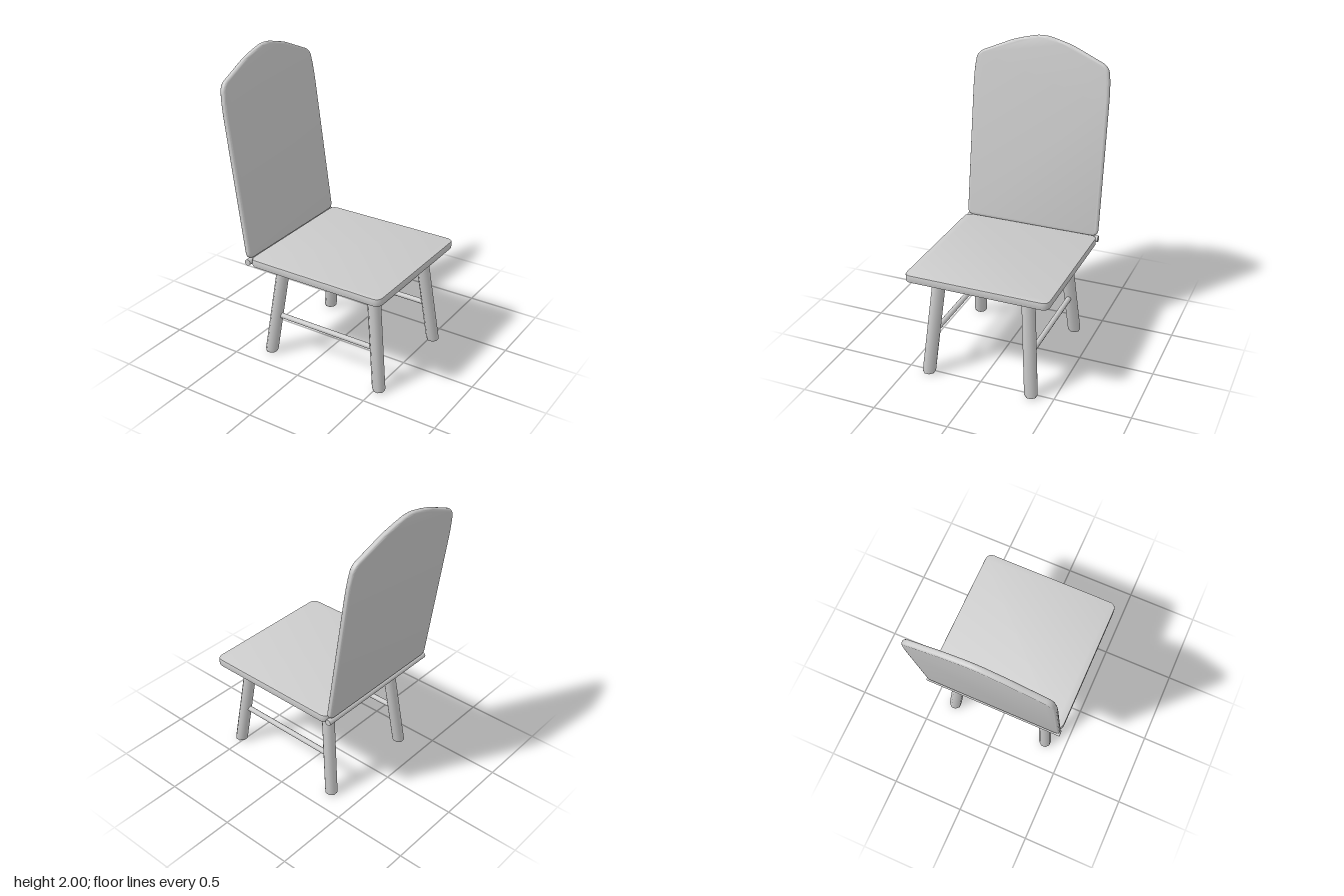
import * as THREE from 'three';
import { toCreasedNormals } from 'three/addons/utils/BufferGeometryUtils.js';

const material = new THREE.MeshStandardMaterial({ color: 0xcccccc });

function addMesh(group, geometry, name) {
  const mesh = new THREE.Mesh(geometry, material);
  mesh.name = name;
  group.add(mesh);
  return mesh;
}

// Flat board cut from a shape, centred on its thickness, with rounded edges
function board(shape, thickness, bevel, segments) {
  const geometry = new THREE.ExtrudeGeometry(shape, {
    depth: thickness - 2 * bevel, bevelThickness: bevel, bevelSize: bevel,
    bevelOffset: -bevel, bevelSegments: segments, curveSegments: 6,
  });
  geometry.translate(0, 0, -(thickness - 2 * bevel) / 2);
  return toCreasedNormals(geometry, 0.75);
}

function seatShape(w, d, r) {
  const s = new THREE.Shape();
  s.moveTo(-w + r, -d);
  s.lineTo(w - r, -d);
  s.quadraticCurveTo(w, -d, w, -d + r);
  s.lineTo(w, d - r);
  s.quadraticCurveTo(w, d, w - r, d);
  s.lineTo(-w + r, d);
  s.quadraticCurveTo(-w, d, -w, d - r);
  s.lineTo(-w, -d + r);
  s.quadraticCurveTo(-w, -d, -w + r, -d);
  return s;
}

// Backrest outline: straight sides, softly peaked top
function backShape() {
  const s = new THREE.Shape();
  s.moveTo(-0.43, 0);
  s.lineTo(0.43, 0);
  s.quadraticCurveTo(0.474, 0, 0.474, 0.045);
  s.lineTo(0.474, 0.89);
  s.quadraticCurveTo(0.474, 1.02, 0.462, 1.09);
  s.quadraticCurveTo(0.455, 1.135, 0.415, 1.155);
  s.lineTo(0.22, 1.24);
  s.quadraticCurveTo(0.16, 1.262, 0.05, 1.287);
  s.quadraticCurveTo(0, 1.295, -0.05, 1.287);
  s.quadraticCurveTo(-0.16, 1.262, -0.22, 1.24);
  s.lineTo(-0.415, 1.155);
  s.quadraticCurveTo(-0.455, 1.135, -0.462, 1.09);
  s.quadraticCurveTo(-0.474, 1.02, -0.474, 0.89);
  s.lineTo(-0.474, 0.045);
  s.quadraticCurveTo(-0.474, 0, -0.43, 0);
  return s;
}

// Upright leg with a rounded foot, sheared so that foot and top stay level
function legGeometry(bottom, top) {
  const height = 0.69, r = 0.043;
  const profile = [[0, 0], [r * 0.7, 0], [r * 0.93, 0.006], [r, 0.02], [r, height], [0, height]]
    .map(([x, y]) => new THREE.Vector2(x, y));
  const geometry = new THREE.LatheGeometry(profile, 8, Math.PI / 8);
  const p = geometry.attributes.position;
  for (let i = 0; i < p.count; i++) {
    const t = p.getY(i) / height;
    p.setX(i, p.getX(i) + THREE.MathUtils.lerp(bottom[0], top[0], t));
    p.setZ(i, p.getZ(i) + THREE.MathUtils.lerp(bottom[1], top[1], t));
  }
  return toCreasedNormals(geometry, 0.85);
}

export function createModel() {
  const chair = new THREE.Group();
  chair.name = 'chair';

  // Seat
  const seat = board(seatShape(0.478, 0.477, 0.05), 0.05, 0.005, 2);
  seat.rotateX(-Math.PI / 2);
  seat.translate(0.107, 0.703, 0);
  addMesh(chair, seat, 'seat');

  // Backrest leaning away from the seat
  const back = board(backShape(), 0.038, 0.017, 4);
  back.rotateY(-Math.PI / 2);
  back.rotateZ(0.143);
  back.translate(-0.387, 0.719, 0);
  addMesh(chair, back, 'backrest');

  // Rod along the joint of seat and backrest
  const hinge = new THREE.CylinderGeometry(0.021, 0.021, 0.954, 12);
  hinge.rotateX(Math.PI / 2);
  addMesh(chair, hinge, 'hingeRod').position.set(-0.39, 0.698, 0);

  // Splayed legs and one stretcher per side
  for (const side of [1, -1]) {
    const name = side > 0 ? 'Front' : 'Rear';
    addMesh(chair, legGeometry([0.525, 0.355 * side], [0.438, 0.297 * side]), 'leftLeg' + name);
    addMesh(chair, legGeometry([-0.312, 0.355 * side], [-0.228, 0.297 * side]), 'rightLeg' + name);
    const rod = new THREE.CylinderGeometry(0.018, 0.018, 0.75, 10);
    rod.rotateZ(Math.PI / 2);
    addMesh(chair, rod, 'stretcher' + name).position.set(0.107, 0.285, 0.331 * side);
  }
  return chair;
}
